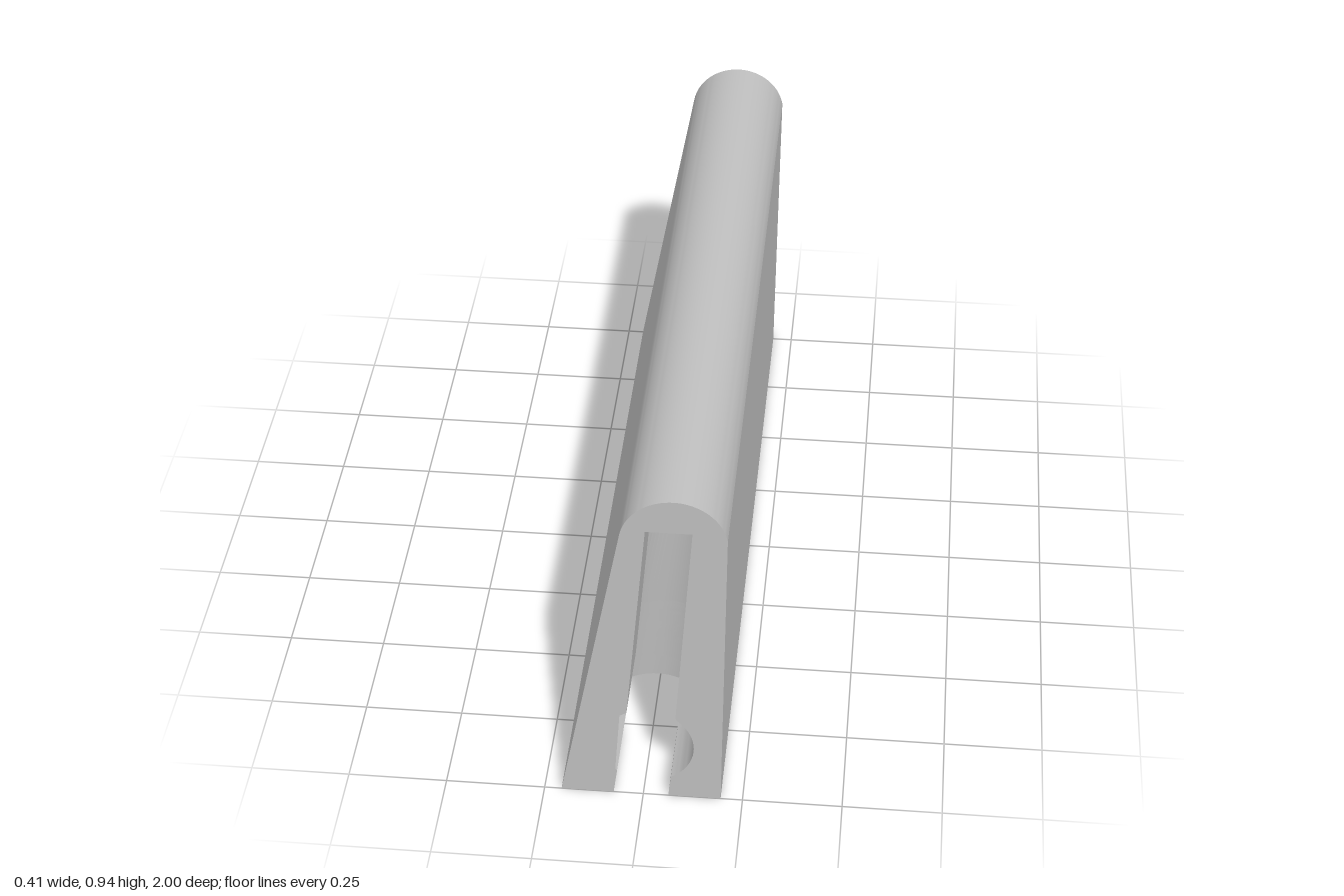
import * as THREE from 'three';
import { toCreasedNormals } from 'three/addons/utils/BufferGeometryUtils.js';

const grey = new THREE.MeshStandardMaterial({ color: 0xbfbfbf, side: THREE.DoubleSide });
grey.name = 'plain grey';

const TOP = 0.85, HOLE_Z = 0.68;
const BORE = { x: 0.01, y: 0.165, r: 0.117 };
const lerp = THREE.MathUtils.lerp;

// Surface through rows of [x, y, z] points
function loft(rows, crease) {
  const n = rows[0].length, index = [];
  for (let i = 0; i < rows.length - 1; i++) {
    for (let j = 0; j < n - 1; j++) {
      const a = i * n + j, b = a + n;
      index.push(a, b, a + 1, a + 1, b, b + 1);
    }
  }
  const g = new THREE.BufferGeometry();
  g.setAttribute('position', new THREE.Float32BufferAttribute(rows.flat(2), 3));
  g.setIndex(index);
  return toCreasedNormals(g, crease);
}

function flat(points) {
  return new THREE.ShapeGeometry(new THREE.Shape(points.map(p => new THREE.Vector2(p[0], p[1]))));
}

function part(name, geometry) {
  const m = new THREE.Mesh(geometry, grey);
  m.name = name;
  return m;
}

// Left and right edges of the leaning slot, widened by the cross bore
function slotEdges(y) {
  const t = y / TOP, d = y - BORE.y;
  const w = Math.abs(d) < BORE.r ? Math.sqrt(BORE.r ** 2 - d * d) : 0;
  const a = lerp(-0.075, 0.035, t), b = lerp(0.063, 0.122, t);
  return { a: Math.min(a, BORE.x - w), b: Math.max(b, BORE.x + w), c: (a + b) / 2 };
}

// Keyhole outline in x and z at one height: slot open at the end, round hole inside
function keyhole(y) {
  const { a, b, c } = slotEdges(y), r = lerp(0.13, 0.08, y / TOP), steps = 48;
  const start = Math.acos(Math.min(1, (b - c) / r));
  const end = Math.acos(Math.max(-1, (a - c) / r)) - 2 * Math.PI;
  const pts = [[b, 1]];
  for (let i = 0; i <= steps; i++) {
    const t = lerp(start, end, i / steps);
    pts.push([c + r * Math.cos(t), HOLE_Z + r * Math.sin(t)]);
  }
  pts.push([a, 1]);
  return pts;
}

// Outer profile: left foot, rounded ridge, right foot
function outerProfile() {
  const pts = [[-0.207, 0]];
  for (let i = 0; i <= 40; i++) {
    const t = lerp(Math.PI - 0.185, 0.178, i / 40);
    pts.push([0.077 + 0.13 * Math.cos(t), 0.812 + 0.13 * Math.sin(t)]);
  }
  pts.push([0.195, 0]);
  return pts;
}

// Heights for the cavity, dense around the bore
function cavityHeights() {
  const ys = [0, 0.0645, 0.0795, 0.262, 0.2708, TOP];
  for (let i = 1; i < 32; i++) {
    const y = BORE.y - BORE.r * Math.cos(Math.PI * i / 32);
    if (y > 0.0645 && y < 0.2708) ys.push(y);
  }
  return ys.sort((p, q) => p - q);
}

// One half of the details: end face, underside and cavity
function endHalf(profile) {
  const half = new THREE.Group();
  const ys = cavityHeights();

  const face = flat([
    ...profile,
    ...ys.map(y => [slotEdges(y).b, y]),
    ...ys.map(y => [slotEdges(y).a, y]).reverse(),
  ]);
  face.translate(0, 0, 1);
  half.add(part('endFace', face));

  const underside = flat([[-0.207, 0], [0.195, 0], [0.195, 1], ...keyhole(0), [-0.207, 1]]);
  underside.rotateX(Math.PI / 2);
  half.add(part('underside', underside));

  half.add(part('slotAndHoleWall', loft(ys.map(y => keyhole(y).map(([x, z]) => [x, y, z])), 0.35)));

  const roof = flat(keyhole(TOP));
  roof.rotateX(Math.PI / 2).translate(0, TOP, 0);
  half.add(part('slotRoof', roof));
  return half;
}

export function createModel() {
  const model = new THREE.Group();
  model.name = 'slottedRail';
  const profile = outerProfile();

  // Long outer skin
  model.add(part('outerShell', loft([-1, 1].map(z => profile.map(([x, y]) => [x, y, z])), 0.14)));

  // Matching ends
  for (const s of [1, -1]) {
    const half = endHalf(profile);
    half.name = s > 0 ? 'frontEnd' : 'backEnd';
    half.scale.z = s;
    model.add(half);
  }
  return model;
}
